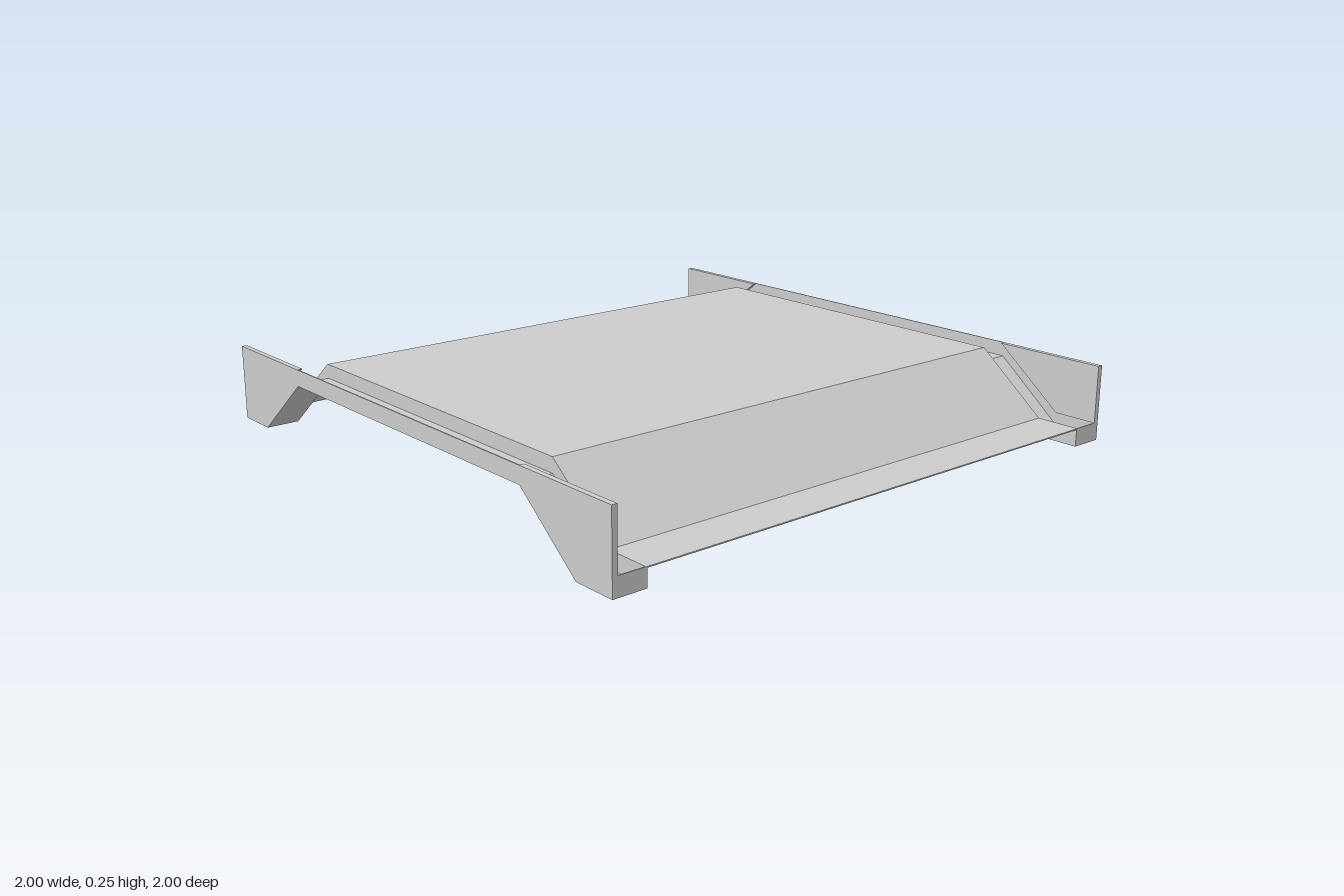
import * as THREE from 'three';

const mat = new THREE.MeshStandardMaterial({ color: 0xcccccc, side: THREE.DoubleSide });

// half profiles as [z, y], from the end of the deck to its raised middle
const TOP = [[1, 0.06], [0.85, 0.06], [0.61, 0.25]];
const BOTTOM = [[1, 0], [0.85, 0], [0.61, 0.195]];

// mirror a half profile to run the full length
const full = (half) => [...half, ...half.slice().reverse().map(([z, y]) => [-z, y])];
const raise = (half, d) => half.map(([z, y]) => [z, y + d]);

// extrude a side outline (z, y) between two x positions
function slab(name, points, x0, x1) {
  const shape = new THREE.Shape(points.map(([z, y]) => new THREE.Vector2(-z, y)));
  const geo = new THREE.ExtrudeGeometry(shape, { depth: x1 - x0, bevelEnabled: false });
  geo.rotateY(Math.PI / 2);
  geo.translate(x0, 0, 0);
  const mesh = new THREE.Mesh(geo, mat);
  mesh.name = name;
  return mesh;
}

// band between a lower and an upper half profile
const band = (name, low, high, x0, x1) =>
  slab(name, [...full(low), ...full(high).reverse()], x0, x1);

export function createModel() {
  const model = new THREE.Group();
  model.name = 'raisedDeck';

  // thin folded sheet spanning the rails
  model.add(band('deckPanel', raise(TOP, -0.004), TOP, -0.89, 0.89));

  for (const side of [1, -1]) {
    const rail = new THREE.Group();
    rail.name = side > 0 ? 'leftRail' : 'rightRail';
    const span = (a, b) => (side > 0 ? [a, b] : [-b, -a]);

    // open channel: floor, inner wall and outer wall
    rail.add(band('railFloor', BOTTOM, raise(BOTTOM, 0.008), ...span(0.89, 1)));
    rail.add(band('railInnerWall', BOTTOM, TOP, ...span(0.888, 0.892)));
    rail.add(band('railOuterWall', BOTTOM, TOP, ...span(0.996, 1)));

    for (const end of [1, -1]) {
      // plate closing the channel
      const cap = new THREE.Mesh(new THREE.BoxGeometry(0.11, 0.06, 0.004), mat);
      cap.position.set(side * 0.945, 0.03, end * 0.998);
      cap.name = 'railEndCap';
      rail.add(cap);

      // upright gusset over the sloping end
      const outline = [[1, 0.06], [1, 0.25], [0.61, 0.25], [0.85, 0.06]];
      rail.add(slab('endFin', outline.map(([z, y]) => [z * end, y]), ...span(0.982, 1)));
    }
    model.add(rail);
  }
  return model;
}
